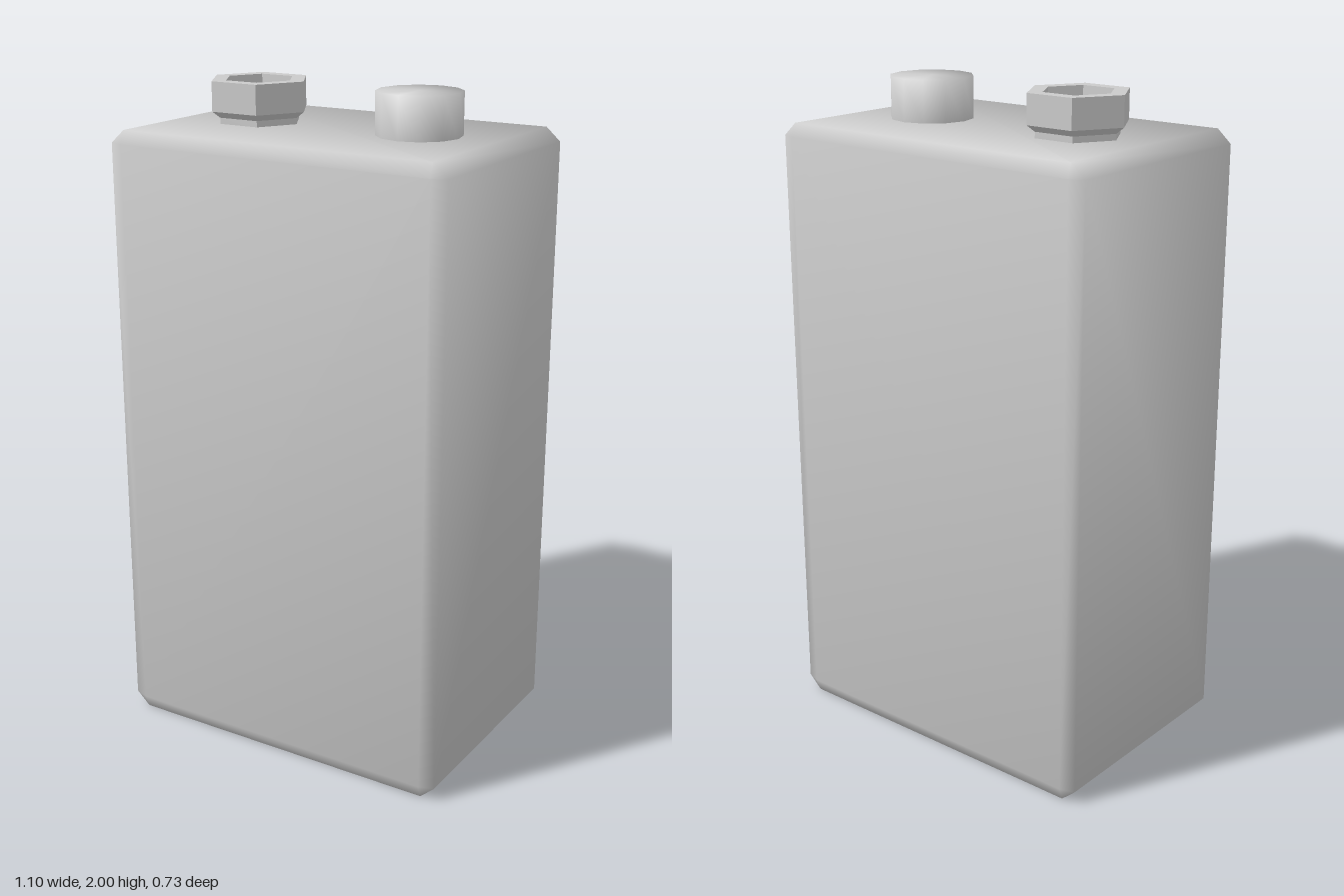
import * as THREE from 'three';
import { ConvexGeometry } from 'three/addons/geometries/ConvexGeometry.js';

// Box with chamfered edges whose normals blend softly across every edge
function softChamferBox(half, bevel) {
  const points = [];
  const axes = ['x', 'y', 'z'];
  for (const sx of [-1, 1]) for (const sy of [-1, 1]) for (const sz of [-1, 1]) {
    const sign = new THREE.Vector3(sx, sy, sz);
    for (const axis of axes) {
      const p = half.clone().sub(bevel);
      p[axis] = half[axis];
      points.push(p.multiply(sign));
    }
  }
  const geometry = new ConvexGeometry(points);
  const pos = geometry.attributes.position;
  const normals = geometry.attributes.normal;
  const p = new THREE.Vector3();
  const slope = new THREE.Vector3(1 / bevel.x, 1 / bevel.y, 1 / bevel.z);
  for (let i = 0; i < pos.count; i++) {
    p.fromBufferAttribute(pos, i);
    const main = axes.find((a) => Math.abs(Math.abs(p[a]) - half[a]) < 1e-5);
    // Average of the flat face, its two chamfers and the corner facet
    const n = slope.clone().normalize();
    n[main] += 1;
    for (const other of axes.filter((a) => a !== main)) {
      const chamfer = slope.clone();
      chamfer[axes.find((a) => a !== main && a !== other)] = 0;
      n.add(chamfer.normalize());
    }
    n.normalize();
    normals.setXYZ(i, n.x * Math.sign(p.x), n.y * Math.sign(p.y), n.z * Math.sign(p.z));
  }
  return geometry;
}

// Revolved part from [radius, height] pairs
function turned(name, profile, sides, start, flatShading) {
  const geometry = new THREE.LatheGeometry(
    profile.map(([r, y]) => new THREE.Vector2(r, y)), sides, start);
  const mesh = new THREE.Mesh(geometry, new THREE.MeshStandardMaterial({ color: 0xcccccc, flatShading }));
  mesh.name = name;
  return mesh;
}

export function createModel() {
  const model = new THREE.Group();
  model.name = 'canister';

  // Tall chamfered tank
  const body = new THREE.Mesh(
    softChamferBox(new THREE.Vector3(0.55, 0.9375, 0.363), new THREE.Vector3(0.045, 0.04, 0.015)),
    new THREE.MeshStandardMaterial({ color: 0xcccccc }));
  body.position.y = 0.9375;
  body.name = 'tankBody';
  model.add(body);

  // Open hexagonal filler neck with an overhanging collar
  const filler = turned('hexFillerNeck', [
    [0.13, 1.87], [0.13, 1.893], [0.155, 1.912], [0.155, 2],
    [0.108, 2], [0.103, 1.925], [0.09, 1.905], [0.09, 1.87],
  ], 6, Math.PI / 2, true);
  filler.position.set(-0.27, 0, -0.005);
  model.add(filler);

  // Short round plug with soft shading
  const plug = turned('roundPlug', [[0.125, 1.87], [0.125, 2], [0, 2]], 12, 0, false);
  plug.position.set(0.265, 0, -0.015);
  model.add(plug);

  return model;
}
